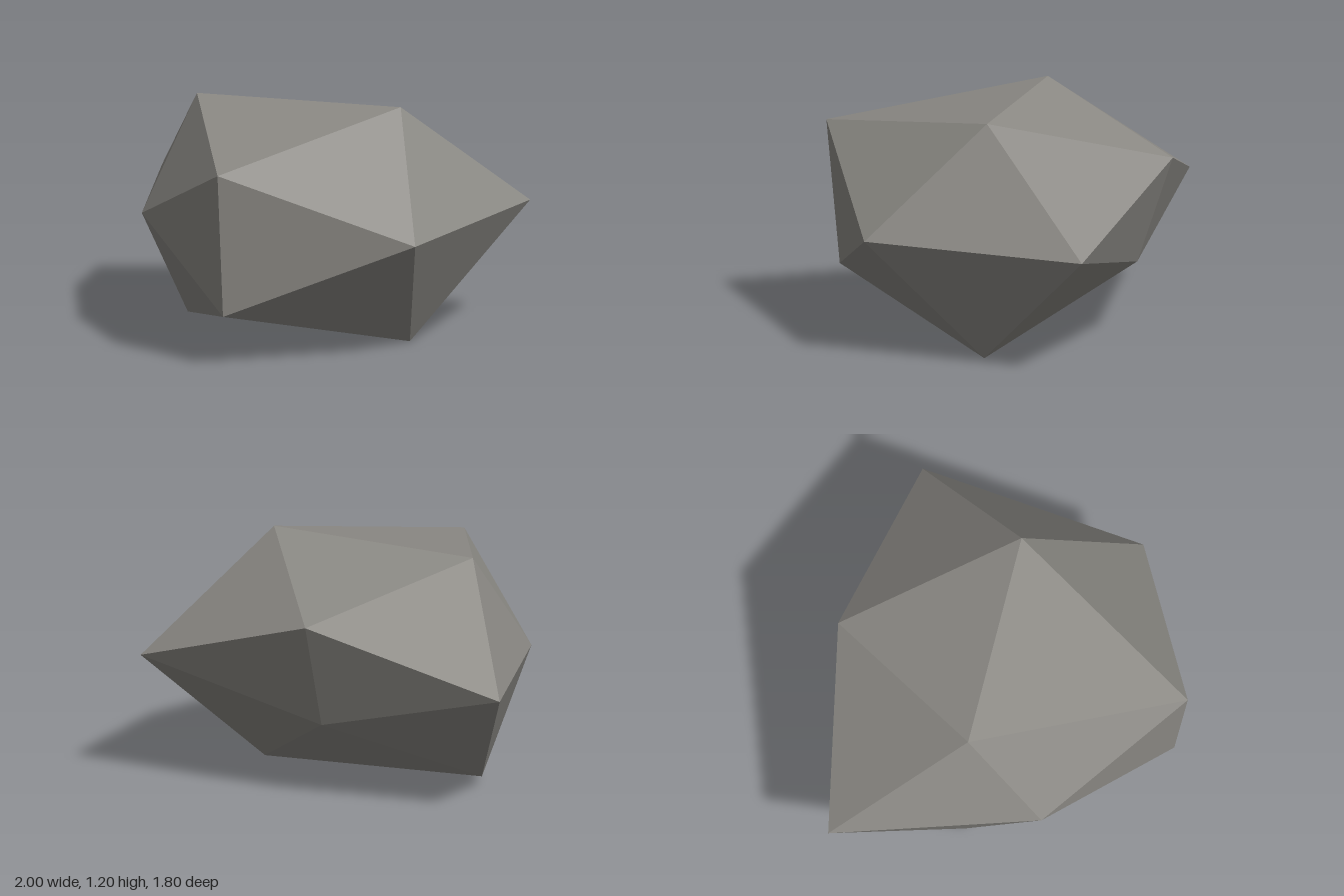
import * as THREE from 'three';

// Irregular boulder: an icosahedron with its corners pushed in and out.
export function createModel() {
  const corners = [
    // upper and lower ridges, running left to right
    -0.55, 1.17, -0.1, 0.56, 1.2, -0.1, -0.6, 0.04, -0.1, 0.61, 0, -0.1,
    // front and back edges
    -0.01, 0.27, 0.83, -0.01, 1.01, 0.9, -0.01, 0.39, -0.72, -0.01, 0.94, -0.905,
    // side edges at mid height
    1, 0.63, -0.72, 0.875, 0.63, 0.45, -1, 0.63, -0.71, -0.675, 0.63, 0.31,
  ];
  // icosahedron faces
  const faces = [
    0, 11, 5, 0, 5, 1, 0, 1, 7, 0, 7, 10, 0, 10, 11,
    1, 5, 9, 5, 11, 4, 11, 10, 2, 10, 7, 6, 7, 1, 8,
    3, 9, 4, 3, 4, 2, 3, 2, 6, 3, 6, 8, 3, 8, 9,
    4, 9, 5, 2, 4, 11, 6, 2, 10, 8, 6, 7, 9, 8, 1,
  ];
  const indexed = new THREE.BufferGeometry();
  indexed.setAttribute('position', new THREE.Float32BufferAttribute(corners, 3));
  indexed.setIndex(faces);
  const geometry = indexed.toNonIndexed();
  geometry.computeVertexNormals(); // unshared corners give flat facets

  const stone = new THREE.MeshStandardMaterial({ color: 0x8c8a85 });
  stone.name = 'stone grey';
  stone.flatShading = true;

  const rock = new THREE.Mesh(geometry, stone);
  rock.name = 'rock';
  const group = new THREE.Group();
  group.name = 'boulder';
  group.add(rock);
  return group;
}
